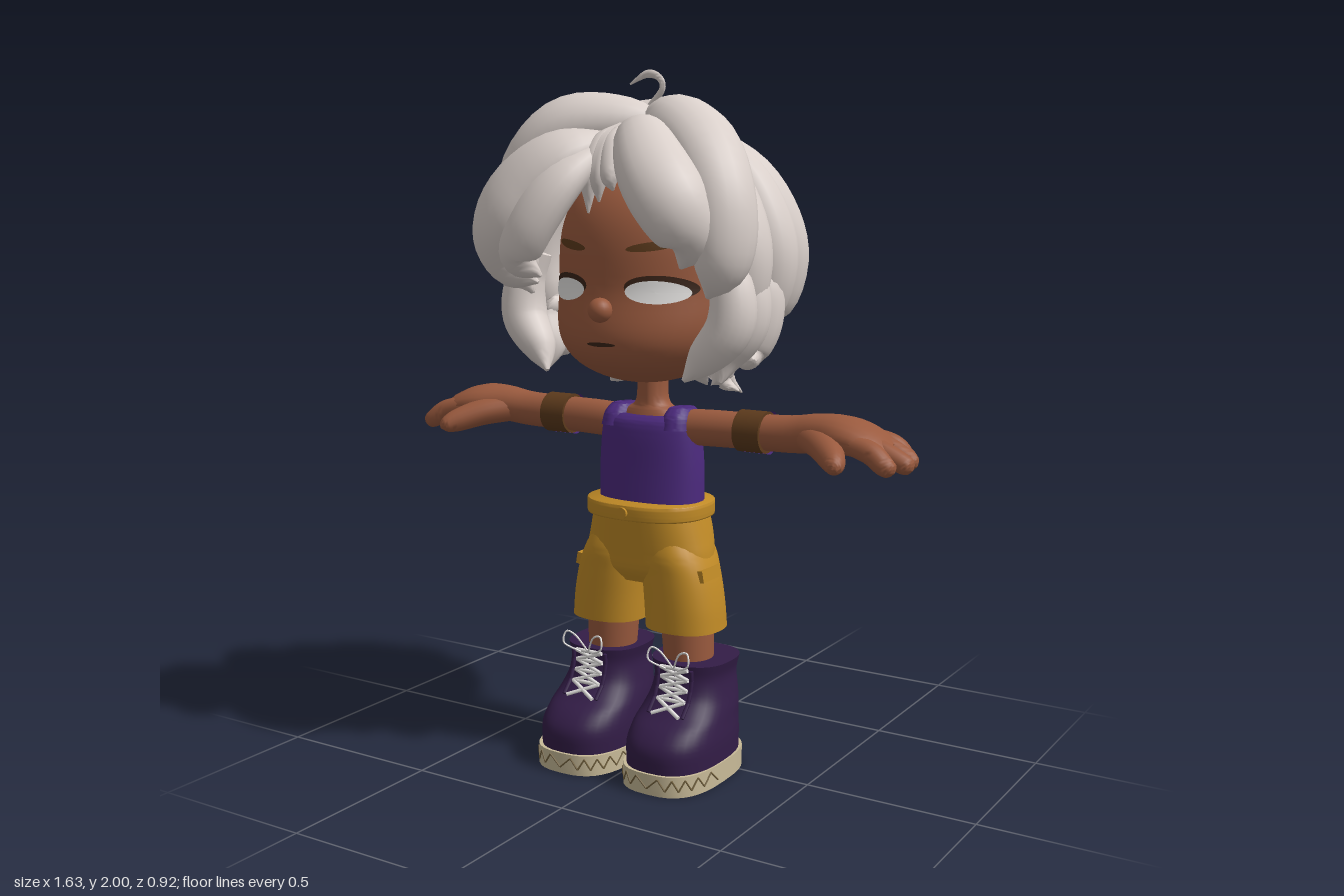
import * as THREE from 'three';
import { toCreasedNormals } from 'three/addons/utils/BufferGeometryUtils.js';

const V = (x, y, z) => new THREE.Vector3(x, y, z);
const mat = (name, color, side = THREE.FrontSide) =>
  Object.assign(new THREE.MeshStandardMaterial({ color, side }), { name });
const UP = V(0, 1, 0), FRONT = V(0, 0, 1), HEAD = V(0, 1.5, -0.03);
const power = (v, e) => Math.sign(v) * Math.abs(v) ** (2 / e);

// Sweep an oval section along points [x, y, z, halfWidth, halfThickness].
// hint: fixed thickness direction, otherwise away from the head centre; axis: fixed section normal.
function sweep(pts, { hint, axis, e = 2, n = 24, m = 18 } = {}) {
  const curve = (f) => new THREE.CatmullRomCurve3(pts.map(f), false, 'catmullrom', 0.5);
  const path = curve((p) => V(p[0], p[1], p[2]));
  const size = curve((p) => V(p[3], p[4] ?? p[3], 0));
  const pos = [], idx = [];
  for (let i = 0; i <= n; i++) {
    const p = path.getPoint(i / n), s = size.getPoint(i / n);
    const t = axis ?? path.getTangent(i / n);
    const N = (hint ?? p.clone().sub(HEAD)).clone();
    N.addScaledVector(t, -N.dot(t)).normalize();
    const B = N.clone().cross(t);
    for (let j = 0; j < m; j++) {
      const a = (j / m) * Math.PI * 2;
      const q = p.clone()
        .addScaledVector(B, power(Math.cos(a), e) * Math.max(s.x, 0.002))
        .addScaledVector(N, power(Math.sin(a), e) * Math.max(s.y, 0.002));
      pos.push(q.x, q.y, q.z);
      if (i < n) {
        const k = i * m + j, l = i * m + ((j + 1) % m);
        idx.push(k, l, k + m, l, l + m, k + m);
      }
    }
  }
  const c = (n + 1) * m;
  [0, 1].forEach((t) => pos.push(...path.getPoint(t).toArray()));
  for (let j = 0; j < m; j++) {
    const k = (j + 1) % m;
    idx.push(c, k, j, c + 1, n * m + j, n * m + k);
  }
  const g = new THREE.BufferGeometry();
  g.setAttribute('position', new THREE.Float32BufferAttribute(pos, 3));
  g.setIndex(idx);
  return toCreasedNormals(g, 0.9);
}
const loft = (pts, e = 2.4, n = 24) => sweep(pts, { hint: FRONT, axis: UP, e, n, m: 36 });

// Head outline: radius by height and front surface depth
const headR = (y) => 0.285 * Math.sqrt(Math.max(0, 1 - Math.abs((y - 1.44) / 0.31) ** 3));
const headZ = (y) => 0.065 * THREE.MathUtils.smoothstep(1.42 - y, 0, 0.24);
const faceZ = (x, y) => headZ(y) + 0.97 * Math.sqrt(Math.max(0, headR(y) ** 2 - x * x));

export function createModel() {
  const model = new THREE.Group();
  const skin = mat('skin', 0x9a5a3e), hair = mat('hair', 0xdad0cb), purple = mat('purple cloth', 0x4c2a7e, THREE.DoubleSide);
  const boot = mat('boot leather', 0x331d47), gold = mat('shorts cloth', 0xc08a26), sole = mat('sole rubber', 0xc8ba98);
  const brown = mat('brown leather', 0x5c3a1c), dark = mat('dark line', 0x3a2418), white = mat('eye and lace white', 0xf0eeec);
  const stitch = mat('sole stitch', 0x75633f);
  const add = (name, geo, material, parent = model) => {
    const mesh = new THREE.Mesh(geo, material);
    mesh.name = name;
    parent.add(mesh);
    return mesh;
  };
  const stick = (name, a, b, r, material) => {
    const mesh = add(name, new THREE.CylinderGeometry(r, r, a.distanceTo(b), 6), material);
    mesh.position.copy(a).lerp(b, 0.5);
    mesh.quaternion.setFromUnitVectors(UP, b.clone().sub(a).normalize());
  };

  // Head
  const head = new THREE.SphereGeometry(1, 48, 40), hp = head.attributes.position;
  for (let i = 0; i < hp.count; i++) {
    const y = 1.44 + 0.31 * hp.getY(i), d = Math.hypot(hp.getX(i), hp.getZ(i)) || 1, r = headR(y) / d;
    hp.setXYZ(i, hp.getX(i) * r, y, hp.getZ(i) * r * 0.97 + headZ(y));
  }
  head.computeVertexNormals();
  add('head', head, skin);
  const nose = add('nose', new THREE.SphereGeometry(0.034, 20, 16), skin);
  nose.position.set(0, 1.35, 0.298);
  add('neck', loft([[0, 1.0, 0.03, 0.12, 0.07], [0, 1.045, 0.03, 0.085, 0.055], [0, 1.08, 0.03, 0.047, 0.047], [0, 1.2, 0.03, 0.047, 0.047]], 2), skin);

  // Painted face patches that follow the head surface
  const patch = (name, cx, cy, rx, ry, tilt, off, material) => {
    const g = new THREE.RingGeometry(0.001, 1, 28, 6), p = g.attributes.position;
    for (let i = 0; i < p.count; i++) {
      const u = p.getX(i) * rx, v = p.getY(i) * ry;
      const x = cx + u * Math.cos(tilt) - v * Math.sin(tilt), y = cy + u * Math.sin(tilt) + v * Math.cos(tilt);
      p.setXYZ(i, x, y, faceZ(x, y) + off);
    }
    g.computeVertexNormals();
    add(name, g, material);
  };
  for (const s of [1, -1]) {
    patch('eyelid', s * 0.148, 1.411, 0.087, 0.034, -s * 0.03, 0.004, dark);
    patch('eye', s * 0.144, 1.4, 0.078, 0.031, -s * 0.03, 0.008, white);
    patch('eyebrow', s * 0.13, 1.522, 0.065, 0.012, s * 0.13, 0.005, brown);
  }
  patch('mouth', 0, 1.256, 0.046, 0.006, 0, 0.004, dark);

  // Hair
  const hairGroup = new THREE.Group();
  hairGroup.name = 'hair';
  model.add(hairGroup);
  const lock = (name, pts) => add(name, sweep(pts), hair, hairGroup);
  const cap = add('hairCap', new THREE.SphereGeometry(1, 40, 28), hair, hairGroup);
  cap.scale.set(0.325, 0.34, 0.29);
  cap.position.set(0, 1.5, -0.06);
  // Long locks fanning from the crown round the back and sides
  for (let k = -5; k <= 5; k++) {
    const a = k * 0.375, side = 1 - 0.1 * Math.abs(Math.sin(a)), tip = 1.23 + (k & 1) * 0.04 + 0.015 * Math.abs(k);
    lock('backLock', [[0.02, 1.825, 0.03], [0.16, 1.805, 0.042], [0.29, 1.715, 0.064], [0.365, 1.59, 0.079], [0.39, 1.47, 0.08], [0.36, 1.35, 0.062], [0.3, tip, 0.004]]
      .map(([r, y, w]) => [Math.sin(a) * r * side, y, -Math.cos(a) * r * side, w, w * 0.92]));
  }
  // Short flared locks at the nape
  for (let k = -3; k <= 3; k++) {
    const a = k * 0.43, d = (k & 1) * 0.02;
    lock('napeLock', [[0.21, 1.38, 0.055], [0.25, 1.28, 0.06], [0.225, 1.19, 0.055], [0.215, 1.13, 0.042], [0.27, 1.08 + d, 0.004]]
      .map(([r, y, w]) => [Math.sin(a) * r * 0.85, y, -0.01 - Math.cos(a) * r, w, w * 0.6]));
  }
  // Full side locks curling forward along the jaw
  for (const s of [1, -1])
    [[0.0, 1.21, 0.35], [0.08, 1.155, 0.29], [0.165, 1.165, 0.225]].forEach(([z, y, x]) =>
      lock('sideLock', [[s * 0.3, 1.5, z, 0.04], [s * 0.34, 1.41, z + 0.01, 0.06, 0.06], [s * 0.338, 1.31, z + 0.02, 0.065, 0.065], [s * (0.19 + x * 0.37), 1.225, z + 0.04, 0.05, 0.048], [s * x, y, z + 0.07, 0.006]]));
  lock('templeLock', [[-0.18, 1.76, 0.16, 0.04], [-0.3, 1.66, 0.2, 0.09, 0.06], [-0.345, 1.53, 0.2, 0.09, 0.07], [-0.33, 1.44, 0.21, 0.065, 0.055], [-0.29, 1.38, 0.21, 0.006]]);
  // Crown and fringe
  lock('topLock', [[0.15, 1.82, -0.02, 0.03], [0.02, 1.845, -0.07, 0.1, 0.075], [-0.14, 1.83, -0.085, 0.11, 0.085], [-0.27, 1.75, -0.075, 0.09, 0.07], [-0.36, 1.6, -0.06, 0.01]]);
  lock('crownRightLock', [[0.08, 1.84, 0.07, 0.03], [-0.05, 1.855, 0.12, 0.085, 0.075], [-0.2, 1.835, 0.17, 0.11, 0.09], [-0.31, 1.72, 0.2, 0.1, 0.08], [-0.35, 1.55, 0.18, 0.08, 0.06], [-0.36, 1.42, 0.14, 0.005]]);
  lock('crownLeftLock', [[0, 1.85, 0.05, 0.04], [0.11, 1.85, 0.09, 0.09, 0.08], [0.24, 1.79, 0.16, 0.1, 0.08], [0.32, 1.67, 0.21, 0.095, 0.08], [0.345, 1.54, 0.23, 0.09, 0.07], [0.33, 1.45, 0.23, 0.065, 0.055], [0.29, 1.39, 0.22, 0.006]]);
  lock('rightFringe', [[-0.02, 1.8, 0.2, 0.03], [-0.12, 1.76, 0.3, 0.09, 0.07], [-0.24, 1.66, 0.34, 0.125, 0.08], [-0.29, 1.55, 0.35, 0.115, 0.08], [-0.27, 1.46, 0.34, 0.07, 0.05], [-0.19, 1.42, 0.32, 0.005]]);
  lock('rightInnerFringe', [[-0.02, 1.79, 0.23, 0.03], [-0.09, 1.7, 0.345, 0.075, 0.055], [-0.16, 1.58, 0.395, 0.08, 0.06], [-0.2, 1.49, 0.39, 0.06, 0.05], [-0.15, 1.44, 0.36, 0.005]]);
  lock('leftFringe', [[0.02, 1.83, 0.13, 0.03], [0.09, 1.81, 0.23, 0.075, 0.06], [0.18, 1.72, 0.31, 0.1, 0.075], [0.25, 1.63, 0.33, 0.1, 0.075], [0.285, 1.54, 0.3, 0.07, 0.05], [0.25, 1.47, 0.29, 0.005]]);
  [[-0.035, 1.61], [0.0, 1.64], [0.045, 1.67]].forEach(([x, y]) =>
    lock('centreLock', [[0, 1.83, 0.18, 0.025], [x * 0.5, 1.79, 0.26, 0.035, 0.03], [x * 0.8, 1.71, 0.3, 0.028], [x, y, 0.3, 0.003]]));
  add('curl', sweep([[0.01, 1.9, 0.06, 0.01, 0.006], [0.05, 1.945, 0.06, 0.01, 0.006], [0.04, 1.977, 0.06, 0.01, 0.006], [0, 1.988, 0.06, 0.011, 0.006], [-0.055, 1.962, 0.06, 0.003]], { hint: FRONT, m: 8 }), hair, hairGroup);

  // Torso and shorts
  add('tankTop', loft([[0, 0.77, 0.037, 0.162, 0.098], [0, 0.88, 0.035, 0.163, 0.092], [0, 0.97, 0.035, 0.158, 0.086], [0, 1.015, 0.033, 0.153, 0.08], [0, 1.035, 0.03, 0.14, 0.066]]), purple);
  add('shortsHips', loft([[0, 0.555, 0.05, 0.16, 0.08], [0, 0.595, 0.047, 0.197, 0.107], [0, 0.64, 0.042, 0.198, 0.118], [0, 0.69, 0.036, 0.187, 0.13], [0, 0.76, 0.037, 0.168, 0.137]]), gold);
  add('waistband', loft([[0, 0.745, 0.04, 0.183, 0.147], [0, 0.75, 0.04, 0.187, 0.151], [0, 0.785, 0.04, 0.187, 0.151], [0, 0.79, 0.04, 0.183, 0.147]]), gold);
  const button = add('button', new THREE.CylinderGeometry(0.016, 0.016, 0.012, 20), gold);
  button.rotation.x = Math.PI / 2;
  button.position.set(0, 0.768, 0.193);

  for (const s of [1, -1]) {
    // Tank strap
    add('shoulderStrap', loft([[s * 0.1, 1.0, 0.032, 0.05, 0.079], [s * 0.1, 1.035, 0.03, 0.043, 0.068], [s * 0.098, 1.058, 0.03, 0.03, 0.046]]), purple);

    // Leg and shorts leg
    add('leg', loft([[s * 0.135, 0.28, 0.045, 0.07, 0.072], [s * 0.13, 0.38, 0.045, 0.075, 0.075], [s * 0.125, 0.5, 0.045, 0.08, 0.08]], 2), skin);
    add('shortsLeg', loft([[s * 0.127, 0.425, 0.05, 0.114, 0.108], [s * 0.121, 0.5, 0.05, 0.113, 0.108], [s * 0.11, 0.58, 0.048, 0.108, 0.11], [s * 0.1, 0.64, 0.043, 0.095, 0.114], [s * 0.09, 0.7, 0.04, 0.07, 0.1]]), gold);
    const flap = add('pocketFlap', new THREE.BoxGeometry(0.03, 0.035, 0.1), gold);
    flap.position.set(s * 0.202, 0.59, 0.06);
    flap.rotation.z = s * 0.18;

    // Boot
    add('boot', loft([[s * 0.148, 0.055, 0.1, 0.132, 0.192], [s * 0.148, 0.12, 0.1, 0.133, 0.19], [s * 0.147, 0.165, 0.083, 0.129, 0.172], [s * 0.147, 0.2, 0.055, 0.124, 0.145], [s * 0.147, 0.24, 0.035, 0.115, 0.126], [s * 0.147, 0.29, 0.029, 0.108, 0.119], [s * 0.147, 0.335, 0.028, 0.118, 0.122]], 2.6), boot);
    add('sole', loft([[s * 0.148, 0, 0.1, 0.137, 0.2], [s * 0.148, 0.06, 0.1, 0.137, 0.2]], 2.8, 2), sole);
    const rim = (i) => {
      const a = 0.1 + (i / 20) * (Math.PI - 0.2);
      return V(s * 0.148 + 0.138 * power(Math.cos(a), 2.8), i % 2 ? 0.05 : 0.018, 0.1 + 0.201 * power(Math.sin(a), 2.8));
    };
    for (let i = 0; i < 20; i++) stick('soleZigzag', rim(i), rim(i + 1), 0.0025, stitch);

    // Criss-cross laces and a loose bow
    const rows = [[0.2, 0.202], [0.235, 0.168], [0.265, 0.155], [0.295, 0.149], [0.325, 0.152]];
    for (let i = 0; i < 4; i++) {
      const [y0, z0] = rows[i], [y1, z1] = rows[i + 1];
      stick('lace', V(s * 0.147 - 0.045, y1, z1), V(s * 0.147 + 0.045, y1, z1), 0.006, white);
      for (const d of [1, -1]) {
        stick('lace', V(s * 0.147 - d * 0.045, y0, z0), V(s * 0.147 + d * 0.045, y1, z1), 0.006, white);
        stick('laceEdge', V(s * 0.147 + d * 0.056, y0, z0 - 0.002), V(s * 0.147 + d * 0.056, y1, z1 - 0.002), 0.006, boot);
      }
    }
    for (const d of [1, -1])
      add('laceBow', sweep([[0, 0.325, 0.155], [0.03, 0.375, 0.175], [0.06, 0.385, 0.18], [0.065, 0.35, 0.185], [0.02, 0.325, 0.165]]
        .map(([x, y, z]) => [s * 0.147 + d * x, y, z, 0.003]), { hint: FRONT, m: 6 }), white);

    // Arm, palm, fingers and thumb
    const limb = (name, pts) =>
      add(name, sweep(pts.map(([x, ...r]) => [s * x, ...r]), { hint: UP }), skin);
    limb('arm', [[0.08, 1.0, 0.03, 0.05], [0.18, 1.005, 0.025, 0.052], [0.34, 1.007, 0.02, 0.05, 0.051], [0.45, 1.01, 0.02, 0.052], [0.53, 1.02, 0.022, 0.064, 0.054], [0.61, 1.022, 0.024, 0.088, 0.052], [0.68, 1.008, 0.025, 0.092, 0.042], [0.735, 0.988, 0.025, 0.075, 0.022]]);
    [[-0.04, -0.058, 0.775], [-0.005, -0.01, 0.8], [0.045, 0.048, 0.812], [0.085, 0.105, 0.785]].forEach(([z0, z1, x]) =>
      limb('finger', [[0.63, 1.015, z0, 0.028], [0.71, 0.995, (z0 + z1) / 2, 0.031], [x - 0.03, 0.966, z1, 0.028], [x - 0.008, 0.955, z1, 0.02], [x, 0.951, z1, 0.004]]));
    limb('thumb', [[0.5, 1.01, 0.035, 0.04], [0.575, 0.997, 0.09, 0.045, 0.04], [0.63, 0.974, 0.15, 0.034], [0.65, 0.962, 0.182, 0.022], [0.656, 0.956, 0.195, 0.004]]);

    // Arm band with a cloth patch behind
    const band = add('armBand', new THREE.CylinderGeometry(0.059, 0.059, 0.082, 32), brown);
    const cloth = add('bandPatch', new THREE.CylinderGeometry(0.064, 0.064, 0.09, 24, 1, true, Math.PI - 1, 2.4), purple);
    for (const b of [band, cloth]) {
      b.rotation.z = Math.PI / 2;
      b.position.set(s * 0.328, 1.007, 0.02);
    }
  }
  return model;
}
